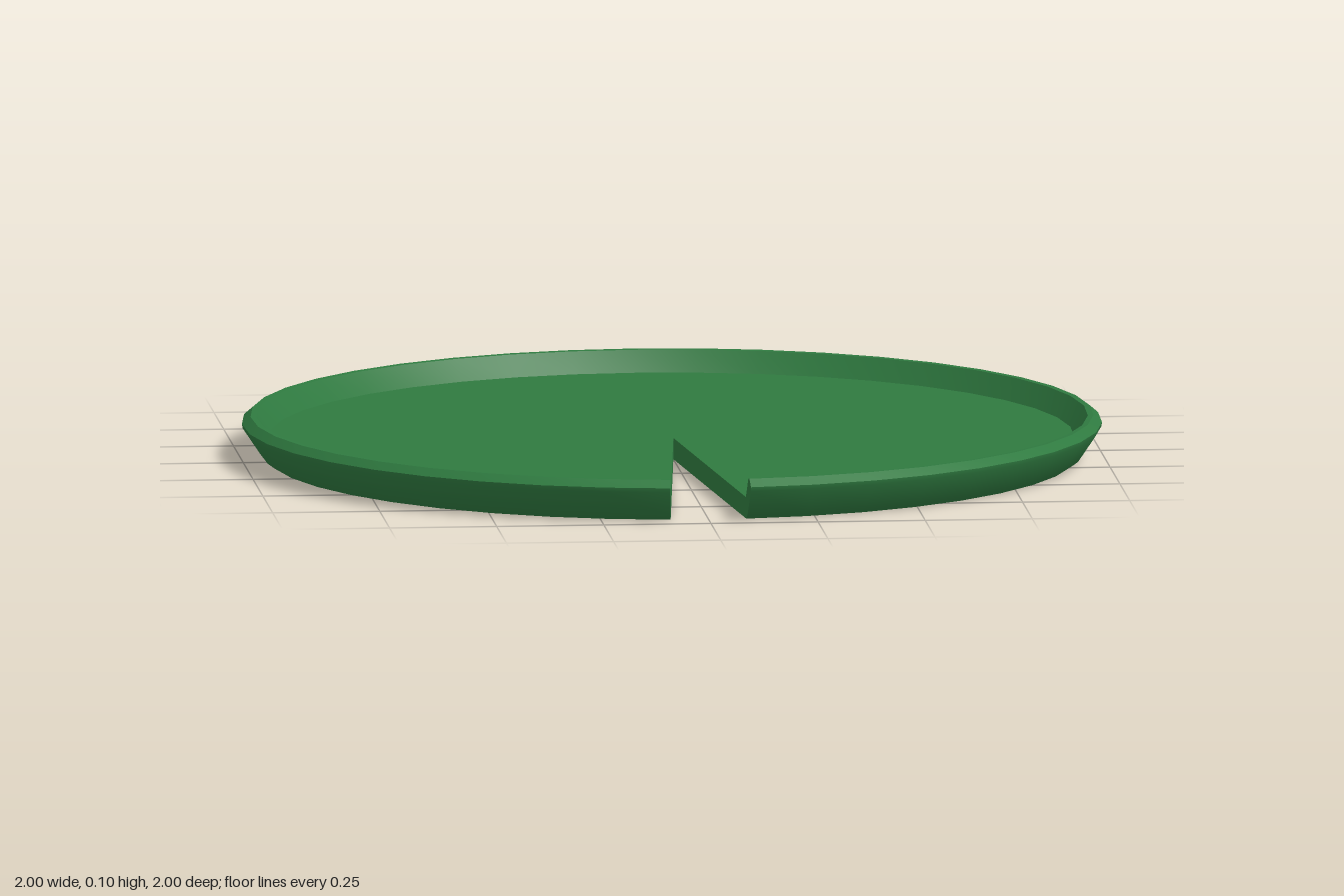
import * as THREE from 'three';
import { toCreasedNormals } from 'three/addons/utils/BufferGeometryUtils.js';

const NOTCH = 0.094;   // half angle of the slit, facing +z
const APEX_Z = 0.04;   // where the slit ends near the centre

// Cross-section (radius, height): underside, flared wall, rim, floor
const PROFILE = [
  [0, 0], [0.94, 0], [0.957, 0.012], [0.998, 0.073], [1, 0.083],
  [0.98, 0.1], [0.967, 0.099], [0.935, 0.05], [0, 0.05],
].map(([r, y]) => new THREE.Vector2(r, y));

// Draw the vertices on the axis forward to the tip of the slit
function moveAxisToApex(geometry) {
  const p = geometry.attributes.position;
  for (let i = 0; i < p.count; i++) {
    if (Math.hypot(p.getX(i), p.getZ(i)) < 1e-4) p.setXYZ(i, 0, p.getY(i), APEX_Z);
  }
  return geometry;
}

export function createModel() {
  const group = new THREE.Group();
  group.name = 'lilyPad';
  const leafGreen = new THREE.MeshStandardMaterial({ color: 0x2f7a40 });
  leafGreen.name = 'leafGreen';

  // Round leaf with an upturned rim
  const leaf = new THREE.LatheGeometry(PROFILE, 40, NOTCH, Math.PI * 2 - NOTCH * 2);
  const pad = new THREE.Mesh(toCreasedNormals(moveAxisToApex(leaf), 0.6), leafGreen);
  pad.name = 'leaf';
  group.add(pad);

  // Cut faces on both sides of the slit
  const cut = new THREE.ShapeGeometry(new THREE.Shape(PROFILE));
  cut.rotateY(NOTCH - Math.PI / 2);
  moveAxisToApex(cut);
  cut.computeVertexNormals();
  for (const side of [1, -1]) {
    const wall = new THREE.Mesh(cut, leafGreen);
    wall.scale.x = side;
    wall.name = side > 0 ? 'leftNotchWall' : 'rightNotchWall';
    group.add(wall);
  }
  return group;
}
